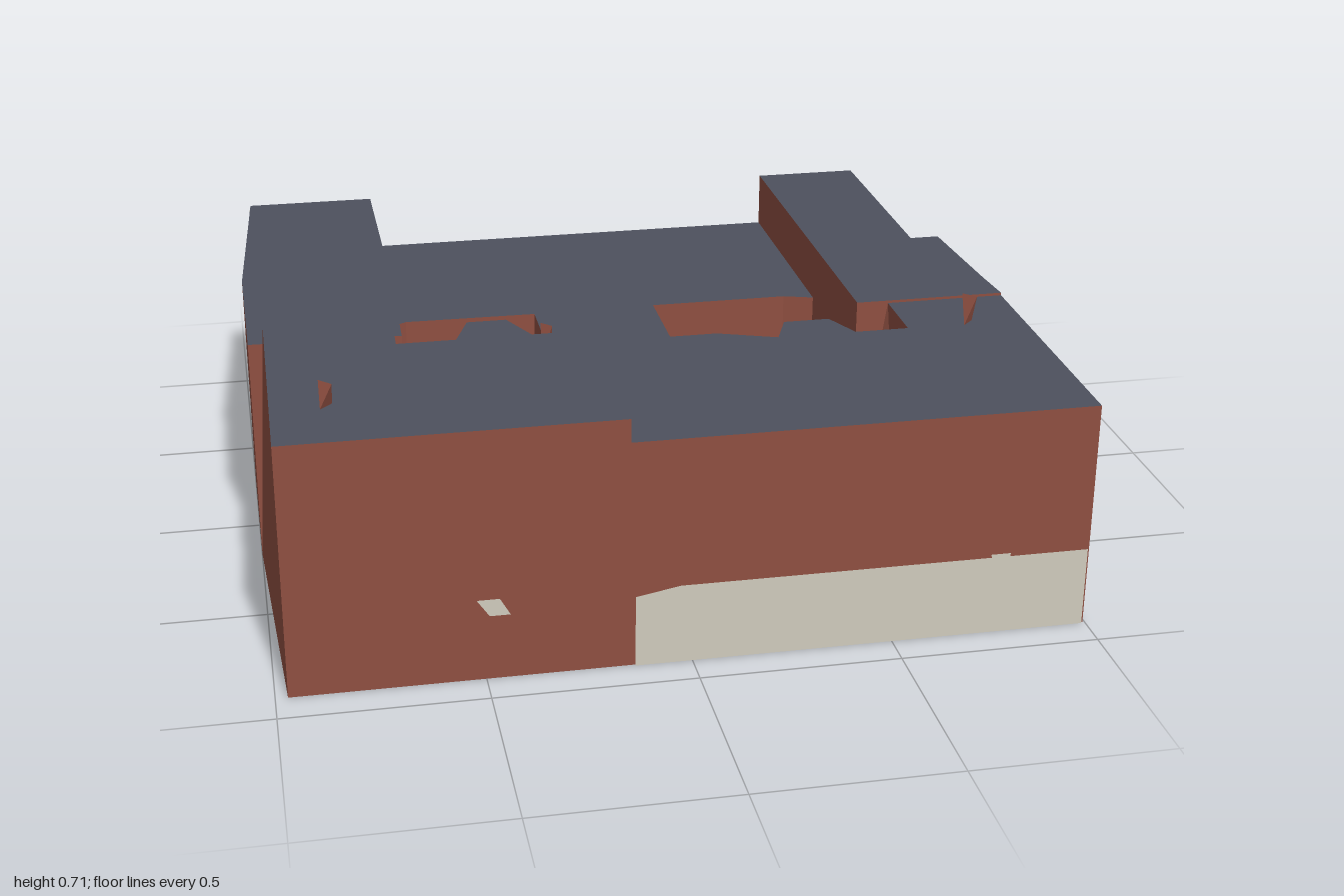
import * as THREE from 'three';

const mat = (name, color, side = THREE.FrontSide) => {
  const m = new THREE.MeshStandardMaterial({ color, side });
  m.name = name;
  return m;
};

export function createModel() {
  const model = new THREE.Group();
  const slate = mat('slate roof', 0x4d515d);
  const brick = mat('brick wall', 0x8f4f41);
  const teal = mat('teal wall', 0x527482);
  const stone = mat('pale stone', 0xd0cbbd, THREE.DoubleSide);

  const add = (name, geometry, material) => {
    const mesh = new THREE.Mesh(geometry, material);
    mesh.name = name;
    model.add(mesh);
  };

  // Flat-faced geometry from lists of triangles, one list per material
  const faceted = (lists) => {
    const geo = new THREE.BufferGeometry();
    let start = 0;
    lists.forEach((list, i) => {
      geo.addGroup(start, list.length, i);
      start += list.length;
    });
    geo.setAttribute('position', new THREE.Float32BufferAttribute(lists.flat(2), 3));
    geo.computeVertexNormals();
    return geo;
  };

  // Block on an [x, z] outline (clockwise from above); topMoves shifts roof corners,
  // tealLow / tealHigh pick the wall whose lower / upper triangle is teal
  const block = (name, outline, height, { topMoves = {}, tealLow = -1, tealHigh = -1 } = {}) => {
    const top = outline.map((p, i) => topMoves[i] || p);
    const b = outline.map(([x, z]) => [x, 0, z]);
    const t = top.map(([x, z]) => [x, height, z]);
    const roof = [], wall = [], tinted = [];
    const cap = (flat, points, up, list) => {
      const contour = flat.map(([x, z]) => new THREE.Vector2(x, z));
      for (const [i, j, k] of THREE.ShapeUtils.triangulateShape(contour, [])) {
        const [p, q, r] = [flat[i], flat[j], flat[k]];
        const cross = (q[0] - p[0]) * (r[1] - p[1]) - (q[1] - p[1]) * (r[0] - p[0]);
        const facesUp = cross < 0;
        list.push(points[i], ...(facesUp === up ? [points[j], points[k]] : [points[k], points[j]]));
      }
    };
    cap(top, t, true, roof);
    cap(outline, b, false, wall);
    outline.forEach((_, i) => {
      const n = (i + 1) % outline.length;
      (i === tealLow ? tinted : wall).push(b[i], t[n], b[n]);
      (i === tealHigh ? tinted : wall).push(b[i], t[i], t[n]);
    });
    add(name, faceted([roof, wall, tinted]), [slate, brick, teal]);
  };

  // Side wings
  block('leftWingBack', [[0.6, -0.92], [0.89, -0.92], [0.97, -0.29], [0.6, -0.29]], 0.597,
    { topMoves: { 2: [0.89, -0.29] }, tealLow: 1 });
  block('leftWing', [[0.6, -0.29], [0.97, -0.29], [0.99, 0.05], [1, 0.17], [0.6, 0.17]], 0.597);
  block('rightWing', [[-0.955, -0.92], [-0.6, -0.92], [-0.6, -0.265], [-0.61, 0.18],
    [-1, 0.17], [-1, -0.29]], 0.597, { tealLow: 5, tealHigh: 5 });

  // Low rear range with a tongue into the courtyard
  block('rearRange', [[-0.6, -0.92], [0.6, -0.92], [0.6, -0.265], [0.52, -0.29], [0.14, -0.29],
    [0.14, 0.06], [-0.2, 0.06], [-0.2, -0.285], [-0.56, -0.29], [-0.6, -0.265]], 0.445);

  // Front ranges with bays facing the courtyard
  block('tallFrontRange', [[-1, 0.17], [-0.61, 0.18], [-0.64, 0.36], [-0.49, 0.36], [-0.45, 0.25],
    [-0.35, 0.25], [-0.3, 0.36], [-0.15, 0.295], [-0.15, 0.91], [-0.97, 0.91]], 0.65,
    { topMoves: { 0: [-0.96, 0.17], 1: [-0.635, 0.18], 7: [-0.15, 0.36] } });
  block('lowFrontRange', [[-0.15, 0.295], [0.19, 0.295], [0.34, 0.35], [0.38, 0.25], [0.5, 0.25],
    [0.545, 0.35], [0.685, 0.35], [0.6, 0.17], [1, 0.17], [0.995, 0.91], [-0.15, 0.91]], 0.59,
    { topMoves: { 7: [0.685, 0.17] } });

  // Wedge chimneys: two crossed edges joined into a tetrahedron
  const chimney = (x, z, y0, y1, r = 0.015) => {
    const a = [x - r, y1, z - r], b = [x + r, y1, z + r];
    const c = [x - r, y0, z + r], d = [x + r, y0, z - r];
    add('chimney', faceted([[a, c, b, a, b, d, a, d, c, b, c, d]]), [brick]);
  };
  chimney(-0.835, 0.71, 0.65, 0.712);
  chimney(-0.26, 0.342, 0.59, 0.667, 0.013);
  chimney(0.85, 0.342, 0.59, 0.667);

  // Pale plates on the front
  const plate = (name, points, z) => {
    const geo = new THREE.ShapeGeometry(new THREE.Shape(points.map((p) => new THREE.Vector2(...p))));
    add(name, geo.translate(0, 0, z), stone);
  };
  plate('frontPlinth', [[-0.14, 0], [0.99, 0], [0.99, 0.207], [-0.03, 0.207], [-0.14, 0.187]], 0.915);
  plate('wallPlaque', [[-0.49, 0.173], [-0.44, 0.173], [-0.465, 0.217], [-0.52, 0.217]], 0.918);
  plate('wallPlaque', [[0.75, 0.19], [0.79, 0.19], [0.79, 0.217], [0.74, 0.217]], 0.918);

  // Pale patch on the right wing's teal wall
  add('sidePatch', faceted([[[-0.958, 0, -0.92], [-0.981, 0.298, -0.605], [-0.958, 0.597, -0.92]]]), [stone]);

  return model;
}
